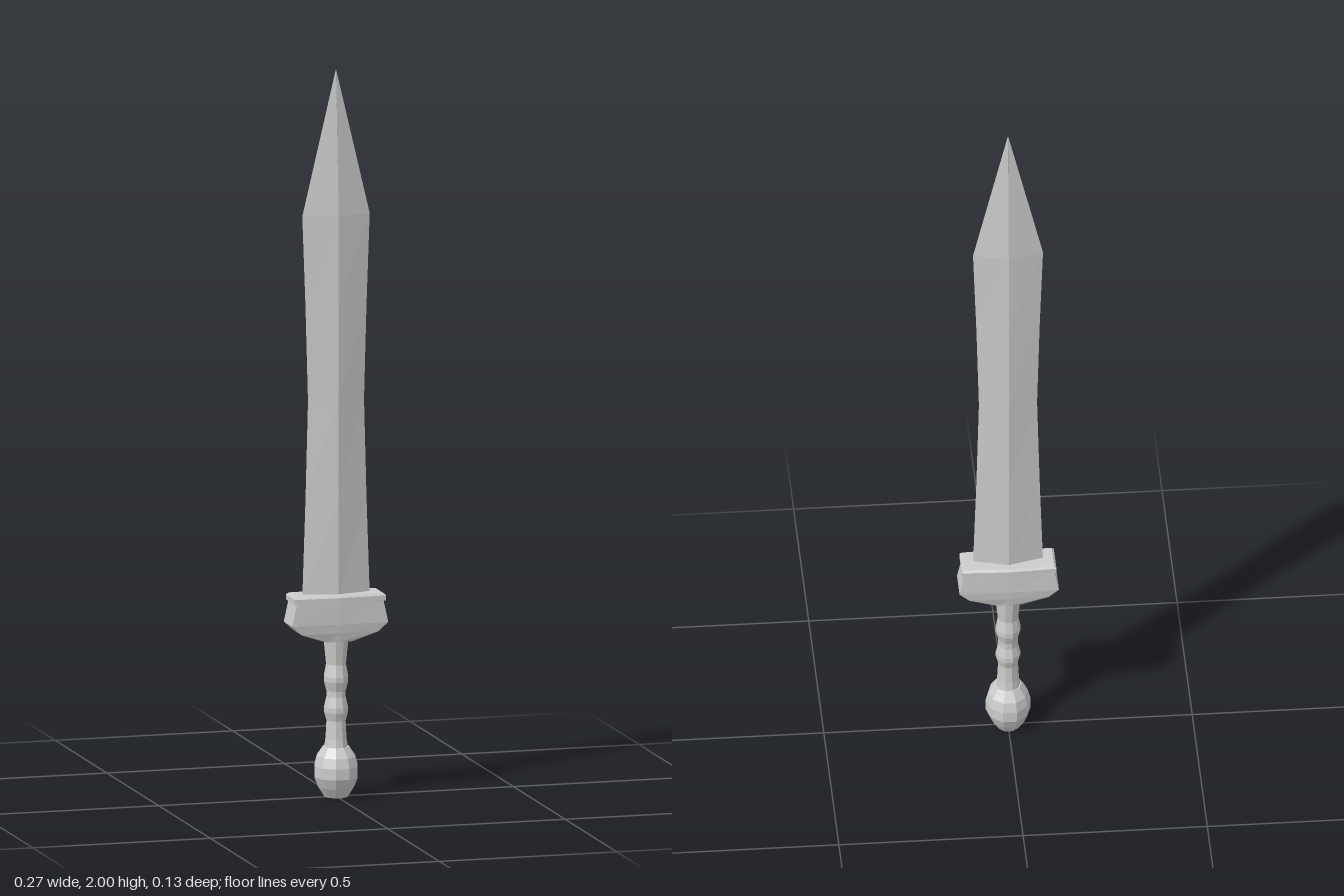
import * as THREE from 'three';

const steel = new THREE.MeshStandardMaterial({ color: 0xcccccc, flatShading: true });

// Skin closed rings of [x, z] corners, each at its own height, and cap both ends.
function loft(name, rings) {
  const pos = [];
  const tri = (...corners) => corners.forEach(c => pos.push(...c));
  const loops = rings.map(({ y, pts }) => pts.map(([x, z]) => [x, y, z]));
  const n = loops[0].length;
  for (let r = 0; r < loops.length - 1; r++) {
    const a = loops[r], b = loops[r + 1];
    for (let i = 0; i < n; i++) {
      const j = (i + 1) % n;
      tri(a[i], a[j], b[j]);
      tri(a[i], b[j], b[i]);
    }
  }
  const low = loops[0], high = loops[loops.length - 1];
  for (let i = 1; i < n - 1; i++) {
    tri(low[0], low[i + 1], low[i]);
    tri(high[0], high[i], high[i + 1]);
  }
  const geo = new THREE.BufferGeometry();
  geo.setAttribute('position', new THREE.Float32BufferAttribute(pos, 3));
  geo.computeVertexNormals();
  const mesh = new THREE.Mesh(geo, steel);
  mesh.name = name;
  return mesh;
}

// Diamond section: sharp edges on x, ridges on z.
const diamond = (y, w, d) => ({ y, pts: [[w, 0], [0, -d], [-w, 0], [0, d]] });

// Rectangular section whose long sides swell slightly in the middle.
const block = (y, w, dEnd, dMid) => ({
  y,
  pts: [[w, dEnd], [w, -dEnd], [0, -dMid], [-w, -dEnd], [-w, dEnd], [0, dMid]],
});

// Ten-sided turned part, a little narrower in x.
function turned(name, profile) {
  const pts = profile.map(([r, y]) => new THREE.Vector2(r, y));
  const mesh = new THREE.Mesh(new THREE.LatheGeometry(pts, 10, Math.PI / 2), steel);
  mesh.scale.x = 0.9;
  mesh.name = name;
  return mesh;
}

export function createModel() {
  const sword = new THREE.Group();
  sword.name = 'sword';

  // Waisted blade with a long tapering point
  sword.add(loft('blade', [
    diamond(0.55, 0.095, 0.026),
    diamond(0.82, 0.086, 0.026),
    diamond(1.09, 0.079, 0.026),
    diamond(1.35, 0.086, 0.026),
    diamond(1.6, 0.095, 0.026),
    diamond(2.0, 0.0005, 0.0005),
  ]));

  // Thin plate on top of the guard
  sword.add(loft('guardPlate', [
    block(0.54, 0.128, 0.045, 0.051),
    block(0.554, 0.128, 0.045, 0.051),
    block(0.56, 0.122, 0.04, 0.046),
  ]));

  // Guard body, flaring down and then curving in to the grip
  sword.add(loft('guard', [
    block(0.43, 0.034, 0.034, 0.037),
    block(0.455, 0.108, 0.039, 0.042),
    block(0.48, 0.135, 0.042, 0.045),
    block(0.541, 0.122, 0.041, 0.045),
  ]));

  // Grip with two finger ridges
  sword.add(turned('grip', [
    [0.039, 0.125], [0.033, 0.16], [0.03, 0.21], [0.037, 0.233], [0.037, 0.247],
    [0.03, 0.275], [0.03, 0.292], [0.038, 0.318], [0.038, 0.332], [0.031, 0.365],
    [0.034, 0.39], [0.039, 0.435],
  ]));

  // Rounded pommel
  sword.add(turned('pommel', [
    [0, 0], [0.036, 0], [0.055, 0.027], [0.068, 0.055], [0.068, 0.085],
    [0.06, 0.112], [0.04, 0.138], [0, 0.14],
  ]));

  return sword;
}
